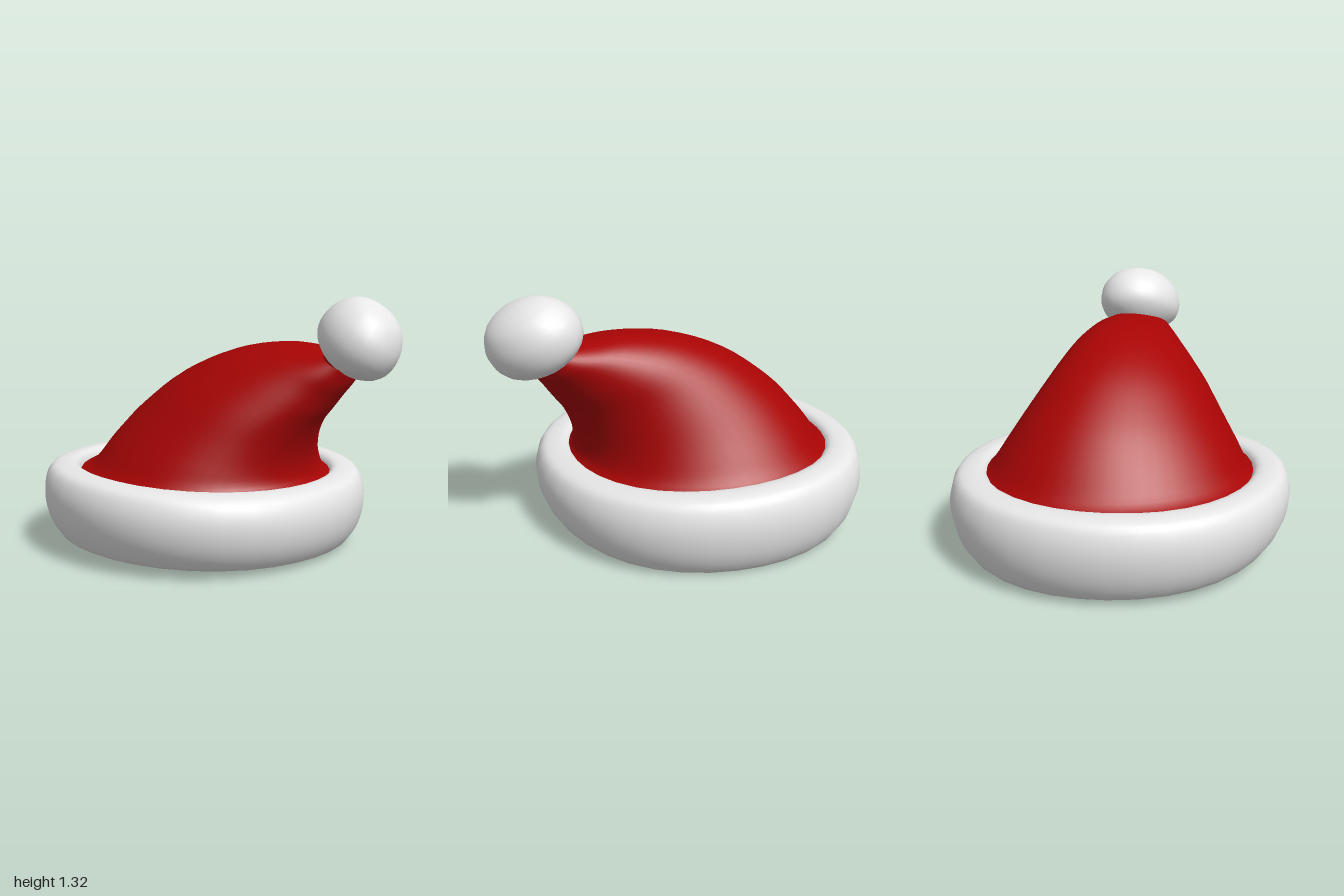
import * as THREE from 'three';
import { mergeVertices } from 'three/addons/utils/BufferGeometryUtils.js';

// Weld seams so the normals run smoothly all the way round
function smooth(geometry) {
  geometry.deleteAttribute('uv');
  geometry.deleteAttribute('normal');
  const welded = mergeVertices(geometry, 1e-4);
  welded.computeVertexNormals();
  return welded;
}

// Thick fur band: closed profile, revolved, then tilted a little
function brimGeometry() {
  const profile = new THREE.CatmullRomCurve3([
    [0.69, 0.005], [0.765, 0], [0.81, 0.05], [0.85, 0.14], [0.868, 0.25], [0.858, 0.34],
    [0.825, 0.405], [0.765, 0.425], [0.7, 0.42], [0.672, 0.37], [0.672, 0.2], [0.66, 0.05],
  ].map(([r, y]) => new THREE.Vector3(r, y, 0)), true);
  const points = profile.getPoints(40).map((p) => new THREE.Vector2(p.x, p.y));
  const geo = new THREE.LatheGeometry(points, 36);
  const pos = geo.attributes.position;
  for (let i = 0; i < pos.count; i++) {
    const x = pos.getX(i), y = pos.getY(i), z = pos.getZ(i);
    const v = y / 0.425;
    const bottom = 0.02 + 0.03 * z + 0.012 * z * z;
    const top = 0.425 - 0.035 * x - 0.015 * x * x + 0.012 * z * z;
    // slightly fuller on one diagonal
    const d = (2 * x * z) / (x * x + z * z);
    const f = 1 + 0.021 * (d + d * d);
    pos.setXYZ(i, x * f - 0.135, bottom + (top - bottom) * v, z * f * 1.02);
  }
  return smooth(geo);
}

// Bent cloth cone: slanted elliptical rings spanned between an upper and a lower edge
function clothGeometry() {
  // upper edge x, y and back z; lower edge x, y and front z
  const rings = [
    [-0.85, 0.40, -0.76, 0.60, 0.345, 0.73],
    [-0.77, 0.445, -0.685, 0.535, 0.395, 0.655],
    [-0.655, 0.59, -0.605, 0.525, 0.48, 0.58],
    [-0.495, 0.755, -0.52, 0.55, 0.58, 0.485],
    [-0.245, 0.93, -0.435, 0.60, 0.68, 0.375],
    [0.05, 1.045, -0.375, 0.66, 0.76, 0.26],
    [0.32, 1.085, -0.325, 0.71, 0.83, 0.165],
    [0.52, 1.075, -0.29, 0.755, 0.89, 0.1],
    [0.63, 1.065, -0.26, 0.79, 0.96, 0.045],
  ];
  const curve = (k) => new THREE.CatmullRomCurve3(
    rings.map((r) => new THREE.Vector3(r[k], r[k + 1], r[k + 2])), false, 'catmullrom');
  const upper = curve(0), lower = curve(3);
  const rows = 32, sides = 48, verts = [], index = [];
  for (let j = 0; j <= rows; j++) {
    const a = upper.getPoint(j / rows), b = lower.getPoint(j / rows);
    const slant = 0.08 + 0.18 * (j / rows);
    for (let i = 0; i < sides; i++) {
      const t = (i / sides) * Math.PI * 2;
      const s = Math.sin(t) / 2, c = Math.cos(t) / 2 + slant * s;
      verts.push((a.x + b.x) / 2 + (b.x - a.x) * c,
        (a.y + b.y) / 2 + (b.y - a.y) * c,
        (a.z + b.z) / 2 + (b.z - a.z) * s);
      if (j < rows) {
        const p = j * sides + i, q = j * sides + ((i + 1) % sides);
        index.push(p, p + sides, q, q, p + sides, q + sides);
      }
    }
  }
  const geo = new THREE.BufferGeometry();
  geo.setAttribute('position', new THREE.Float32BufferAttribute(verts, 3));
  geo.setIndex(index);
  geo.computeVertexNormals();
  return geo;
}

// Squashed fur ball with a flat base, revolved about its own axis
function pompomGeometry() {
  const profile = new THREE.SplineCurve([
    [0, -0.035], [0.09, -0.03], [0.16, 0.0], [0.215, 0.05], [0.234, 0.12],
    [0.218, 0.2], [0.16, 0.275], [0.08, 0.312], [0, 0.322],
  ].map(([r, y]) => new THREE.Vector2(r, y)));
  const points = profile.getPoints(24);
  points.forEach((p) => { p.x = Math.max(p.x, 0); });
  return smooth(new THREE.LatheGeometry(points, 24));
}

export function createModel() {
  const fur = new THREE.MeshStandardMaterial({ color: 0xe7e7e7 });
  fur.name = 'white fur';
  const cloth = new THREE.MeshStandardMaterial({ color: 0xa80404, side: THREE.DoubleSide });
  cloth.name = 'red cloth';

  const model = new THREE.Group();
  model.name = 'winterHat';
  const add = (name, geometry, material) => {
    const mesh = new THREE.Mesh(geometry, material);
    mesh.name = name;
    model.add(mesh);
    return mesh;
  };
  add('brim', brimGeometry(), fur);
  add('cone', clothGeometry(), cloth);

  // The ball sits on the tip, leans with it and is longer one way than the other
  const pompom = add('pompom', pompomGeometry(), fur);
  const axis = new THREE.Vector3(0.56, 0.8, -0.16).normalize();
  const across = new THREE.Vector3(0.55, -0.3, 0.6).cross(axis).normalize();
  const along = new THREE.Vector3().crossVectors(axis, across);
  pompom.quaternion.setFromRotationMatrix(new THREE.Matrix4().makeBasis(along, axis, across));
  pompom.scale.set(1.08, 1, 0.88);
  pompom.position.set(0.708, 1.005, -0.112);
  return model;
}
